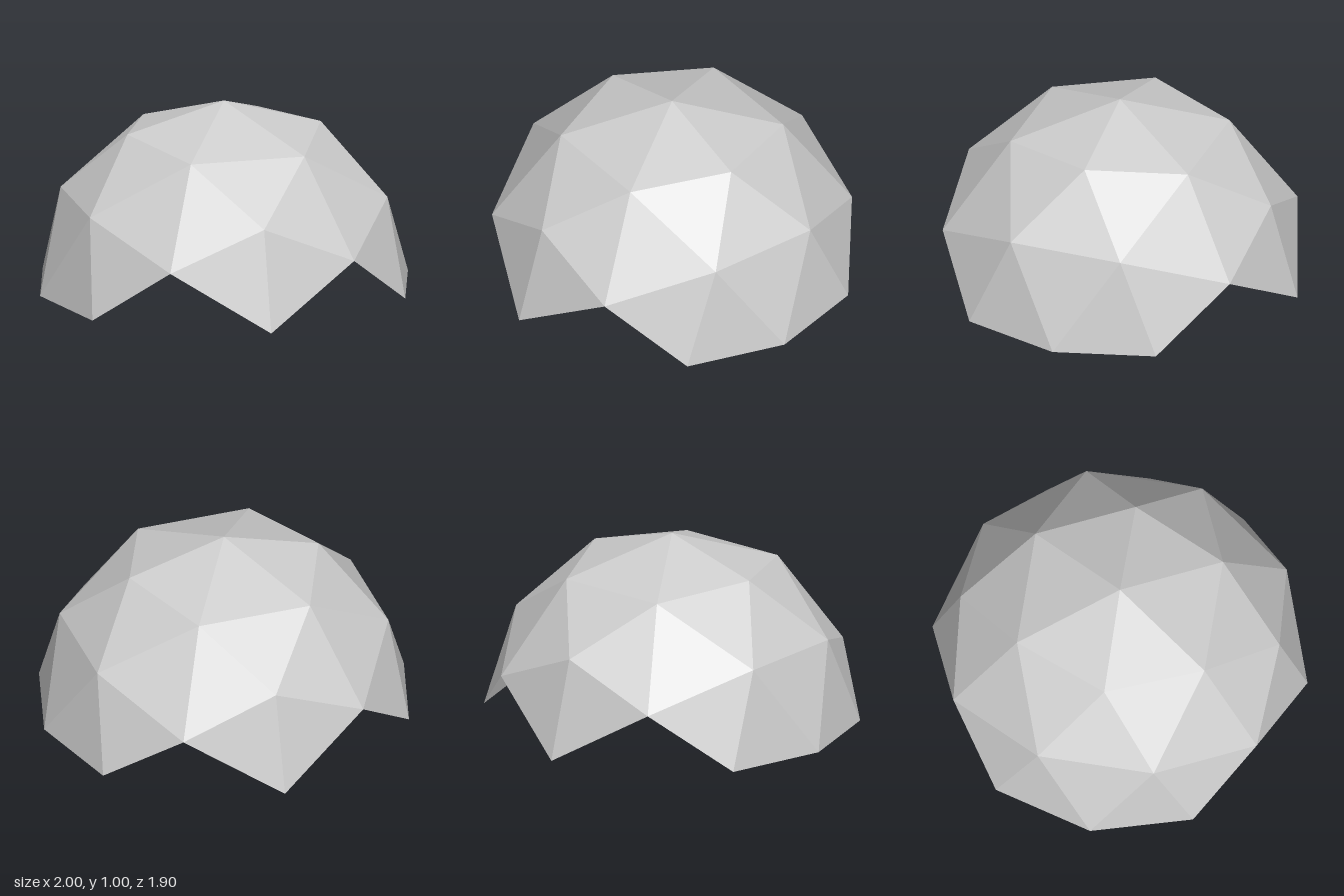
import * as THREE from 'three';

const shellGrey = new THREE.MeshStandardMaterial({ color: 0xcccccc, flatShading: true, side: THREE.DoubleSide });
shellGrey.name = 'shellGrey';
const carGrey = new THREE.MeshStandardMaterial({ color: 0xc4c4c4, flatShading: true });
carGrey.name = 'carGrey';

function addMesh(parent, name, geometry, material, x = 0, y = 0, z = 0) {
  const mesh = new THREE.Mesh(geometry, material);
  mesh.name = name;
  mesh.position.set(x, y, z);
  parent.add(mesh);
  return mesh;
}

// Two-frequency geodesic sphere, keeping only the triangles wholly above the ground
function domeGeometry() {
  const sphere = new THREE.IcosahedronGeometry(1, 1);
  sphere.rotateY(Math.atan2(0.5257, 0.8507));
  const p = sphere.attributes.position;
  const kept = [];
  for (let i = 0; i < p.count; i += 3) {
    const corners = [i, i + 1, i + 2];
    if (corners.some((c) => p.getY(c) < -0.01)) continue;
    for (const c of corners) kept.push(p.getX(c), p.getY(c), p.getZ(c));
  }
  const geometry = new THREE.BufferGeometry();
  geometry.setAttribute('position', new THREE.Float32BufferAttribute(kept, 3));
  geometry.computeVertexNormals();
  return geometry;
}

// Side profile (along z, up y) extruded across x and centred
function sideExtrude(points, width) {
  const shape = new THREE.Shape(points.map(([z, y]) => new THREE.Vector2(z, y)));
  const geometry = new THREE.ExtrudeGeometry(shape, { depth: width, bevelEnabled: false });
  geometry.translate(0, 0, -width / 2);
  geometry.rotateY(-Math.PI / 2);
  return geometry;
}

// Tiny rounded car, nose towards +z
function createCar() {
  const car = new THREE.Group();
  car.name = 'car';
  addMesh(car, 'carBody', sideExtrude([
    [-0.031, 0.009], [0.031, 0.009], [0.032, 0.015], [0.026, 0.02],
    [0.012, 0.023], [-0.022, 0.024], [-0.03, 0.018],
  ], 0.028), carGrey);
  addMesh(car, 'carCabin', sideExtrude([
    [-0.024, 0.022], [0.014, 0.022], [0.008, 0.032], [0, 0.036], [-0.01, 0.036], [-0.018, 0.031],
  ], 0.024), carGrey);
  const wheel = new THREE.CylinderGeometry(0.008, 0.008, 0.007, 12).rotateZ(Math.PI / 2);
  for (const x of [-0.014, 0.014]) {
    for (const z of [-0.019, 0.02]) addMesh(car, 'wheel', wheel, carGrey, x, 0.008, z);
  }
  return car;
}

export function createModel() {
  const model = new THREE.Group();
  model.name = 'geodesicDome';
  addMesh(model, 'domeShell', domeGeometry(), shellGrey, 0, 0.003, 0);
  const car = createCar();
  car.position.set(0, 0, 0.098);
  model.add(car);
  return model;
}
